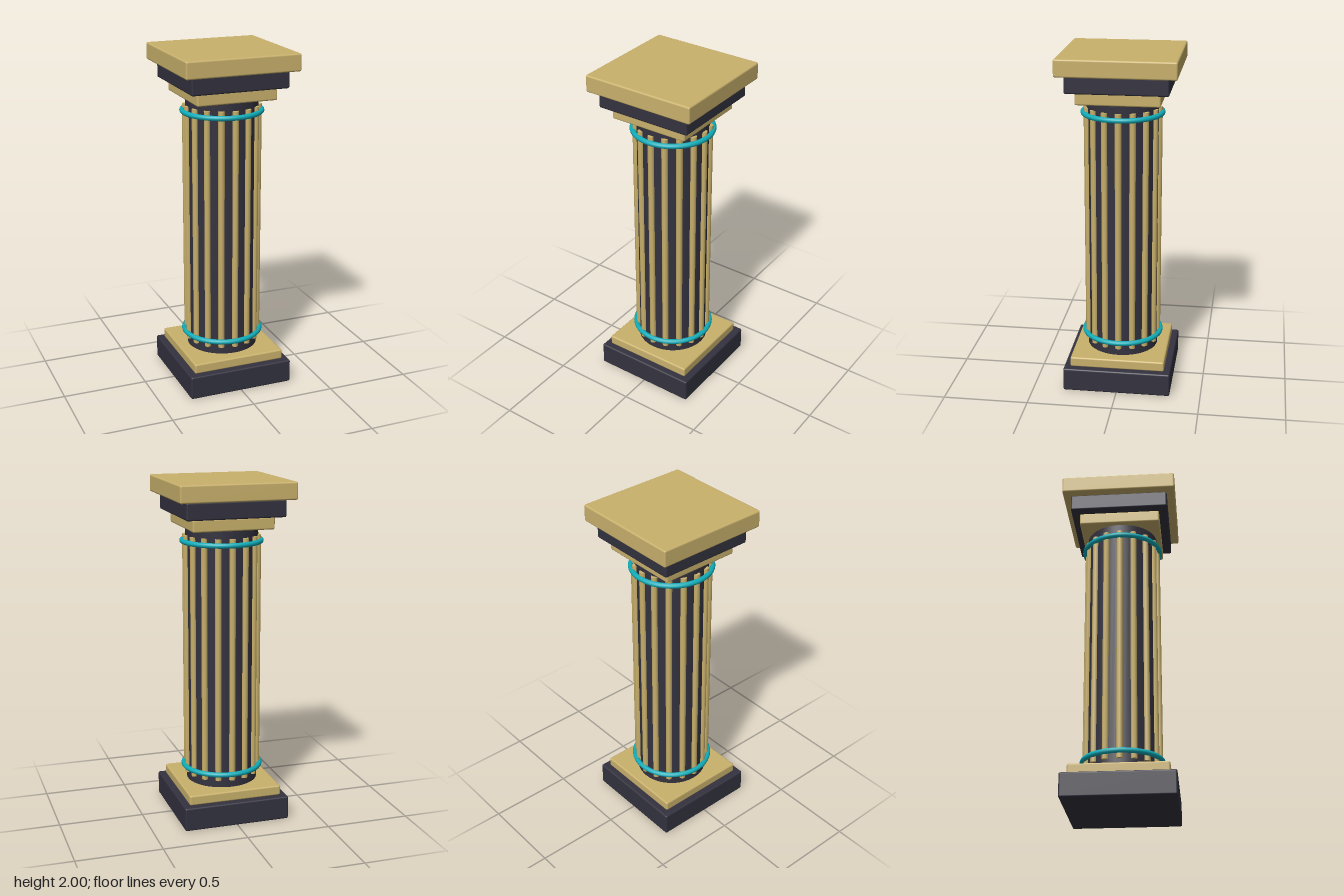
import * as THREE from 'three';
import { RoundedBoxGeometry } from 'three/addons/geometries/RoundedBoxGeometry.js';

const material = (name, color) => {
  const m = new THREE.MeshStandardMaterial({ color });
  m.name = name;
  return m;
};

export function createModel() {
  const gold = material('gold', 0xc9b16c);
  const dark = material('dark stone', 0x33323f);
  const teal = material('teal', 0x10adb9);
  const model = new THREE.Group();
  model.name = 'column';

  const add = (name, geometry, mat, y, parent = model) => {
    const mesh = new THREE.Mesh(geometry, mat);
    mesh.name = name;
    mesh.position.y = y;
    parent.add(mesh);
    return mesh;
  };

  // Square slabs of the base and capital: name, width, bottom, top, colour
  const slabs = [
    ['plinth', 0.636, 0, 0.14, dark],
    ['baseStep', 0.56, 0.14, 0.2, gold],
    ['capitalNeck', 0.48, 1.727, 1.8, gold],
    ['capitalBlock', 0.58, 1.8, 1.9, dark],
    ['abacus', 0.676, 1.9, 2, gold],
  ];
  for (const [name, width, bottom, top, mat] of slabs) {
    const box = new RoundedBoxGeometry(width, top - bottom, width, 3, 0.01);
    add(name, box, mat, (bottom + top) / 2);
  }

  // Round shaft
  add('shaft', new THREE.CylinderGeometry(0.21, 0.21, 1.54, 48), dark, 0.965);

  // Sixteen slim rods set around the shaft
  const rods = new THREE.Group();
  rods.name = 'rods';
  model.add(rods);
  const rodGeometry = new THREE.CylinderGeometry(0.019, 0.019, 1.435, 8);
  for (let i = 0; i < 16; i++) {
    const angle = (i / 16) * Math.PI * 2;
    const rod = add('rod', rodGeometry, gold, 0.9625, rods);
    rod.position.x = Math.sin(angle) * 0.21;
    rod.position.z = Math.cos(angle) * 0.21;
    rod.rotation.y = angle;
  }

  // Rings around the rods
  const ringGeometry = new THREE.TorusGeometry(0.229, 0.015, 12, 64).rotateX(Math.PI / 2);
  add('lowerRing', ringGeometry, teal, 0.285);
  add('upperRing', ringGeometry, teal, 1.645);

  return model;
}
